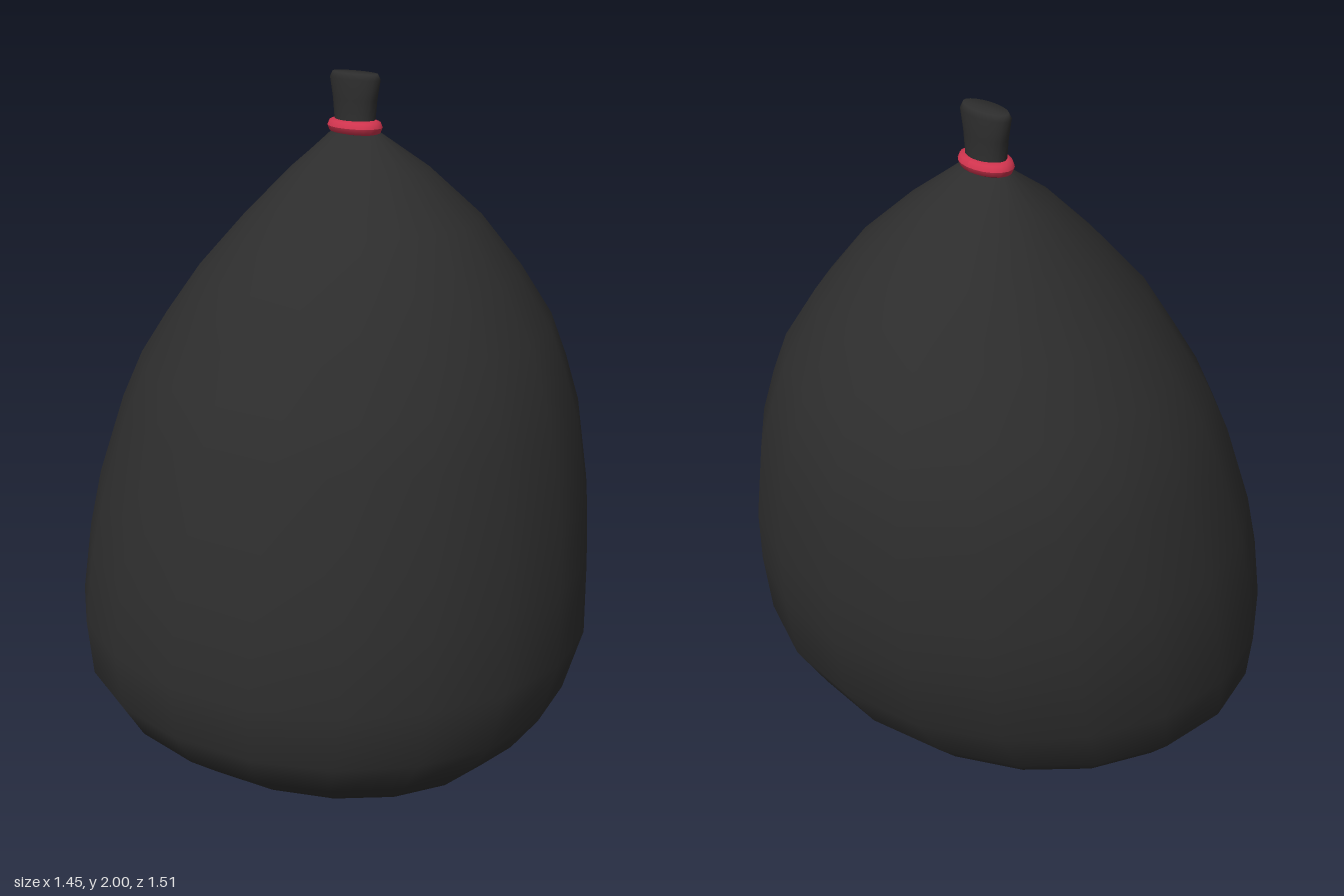
import * as THREE from 'three';

const SEGMENTS = 20;

// Skin a stack of horizontal oval sections [y, xMin, xMax, zFront, zBack], bottom to top
function loft(sections, bottomY, topY) {
  const pos = [], idx = [], n = SEGMENTS;
  for (const [y, x0, x1, zf, zb] of sections) {
    const cx = (x0 + x1) / 2, rx = (x1 - x0) / 2;
    for (let i = 0; i < n; i++) {
      const a = (i / n) * Math.PI * 2, s = Math.sin(a);
      pos.push(cx + rx * Math.cos(a), y, s > 0 ? s * zf : s * -zb);
    }
  }
  for (let r = 0; r < sections.length - 1; r++) {
    for (let i = 0; i < n; i++) {
      const a = r * n + i, b = r * n + (i + 1) % n;
      idx.push(a, a + n, b, b, a + n, b + n);
    }
  }
  // Close both ends with a centre point
  const first = sections[0], last = sections[sections.length - 1];
  const bottom = pos.length / 3, top = bottom + 1, base = (sections.length - 1) * n;
  pos.push((first[1] + first[2]) / 2, bottomY, 0, (last[1] + last[2]) / 2, topY, 0);
  for (let i = 0; i < n; i++) {
    const j = (i + 1) % n;
    idx.push(bottom, i, j, top, base + j, base + i);
  }
  const g = new THREE.BufferGeometry();
  g.setAttribute('position', new THREE.Float32BufferAttribute(pos, 3));
  g.setIndex(idx);
  g.computeVertexNormals();
  return g;
}

export function createModel() {
  const bagBlack = new THREE.MeshStandardMaterial({ color: 0x2d2d2d });
  const tieRed = new THREE.MeshStandardMaterial({ color: 0xd0344e });
  const group = new THREE.Group();
  const add = (name, geometry, material, parent = group) => {
    const mesh = new THREE.Mesh(geometry, material);
    mesh.name = name;
    parent.add(mesh);
    return mesh;
  };

  // Sagging sack, slumped towards its right side
  add('sack', loft([
    [0.008, -0.17, 0.01, 0.16, -0.15],
    [0.06, -0.37, 0.22, 0.38, -0.36],
    [0.15, -0.55, 0.38, 0.57, -0.53],
    [0.24, -0.66, 0.50, 0.66, -0.65],
    [0.34, -0.715, 0.59, 0.73, -0.73],
    [0.50, -0.73, 0.685, 0.76, -0.755],
    [0.70, -0.70, 0.715, 0.74, -0.74],
    [0.86, -0.655, 0.72, 0.72, -0.72],
    [1.09, -0.585, 0.70, 0.67, -0.65],
    [1.22, -0.52, 0.66, 0.625, -0.60],
    [1.34, -0.45, 0.62, 0.57, -0.525],
    [1.48, -0.37, 0.53, 0.48, -0.415],
    [1.62, -0.24, 0.42, 0.36, -0.295],
    [1.75, -0.10, 0.28, 0.21, -0.17],
    [1.84, 0.035, 0.14, 0.085, -0.075],
  ], 0, 1.87), bagBlack);

  // Gathered neck, oval and slightly twisted
  const knot = new THREE.Group();
  knot.name = 'knot';
  knot.position.x = 0.087;
  knot.rotation.y = -0.2;
  group.add(knot);
  add('neck', loft([
    [1.82, -0.05, 0.05, 0.075, -0.075],
    [1.88, -0.043, 0.043, 0.068, -0.068],
    [1.93, -0.042, 0.042, 0.076, -0.076],
    [1.985, -0.043, 0.043, 0.09, -0.09],
    [2.0, -0.036, 0.036, 0.082, -0.082],
  ], 1.82, 2), bagBlack, knot);

  // Tie band squeezed around the neck
  const band = new THREE.TorusGeometry(0.07, 0.02, 8, SEGMENTS);
  band.rotateX(Math.PI / 2);
  const p = band.attributes.position;
  for (let i = 0; i < p.count; i++) {
    const r = Math.hypot(p.getX(i), p.getZ(i)), k = (r - 0.07) / r;
    // Keep the band thickness while making its path oval
    p.setX(i, p.getX(i) * (k + (1 - k) * 0.57));
  }
  band.computeVertexNormals();
  add('tieBand', band, tieRed, knot).position.y = 1.858;

  return group;
}
